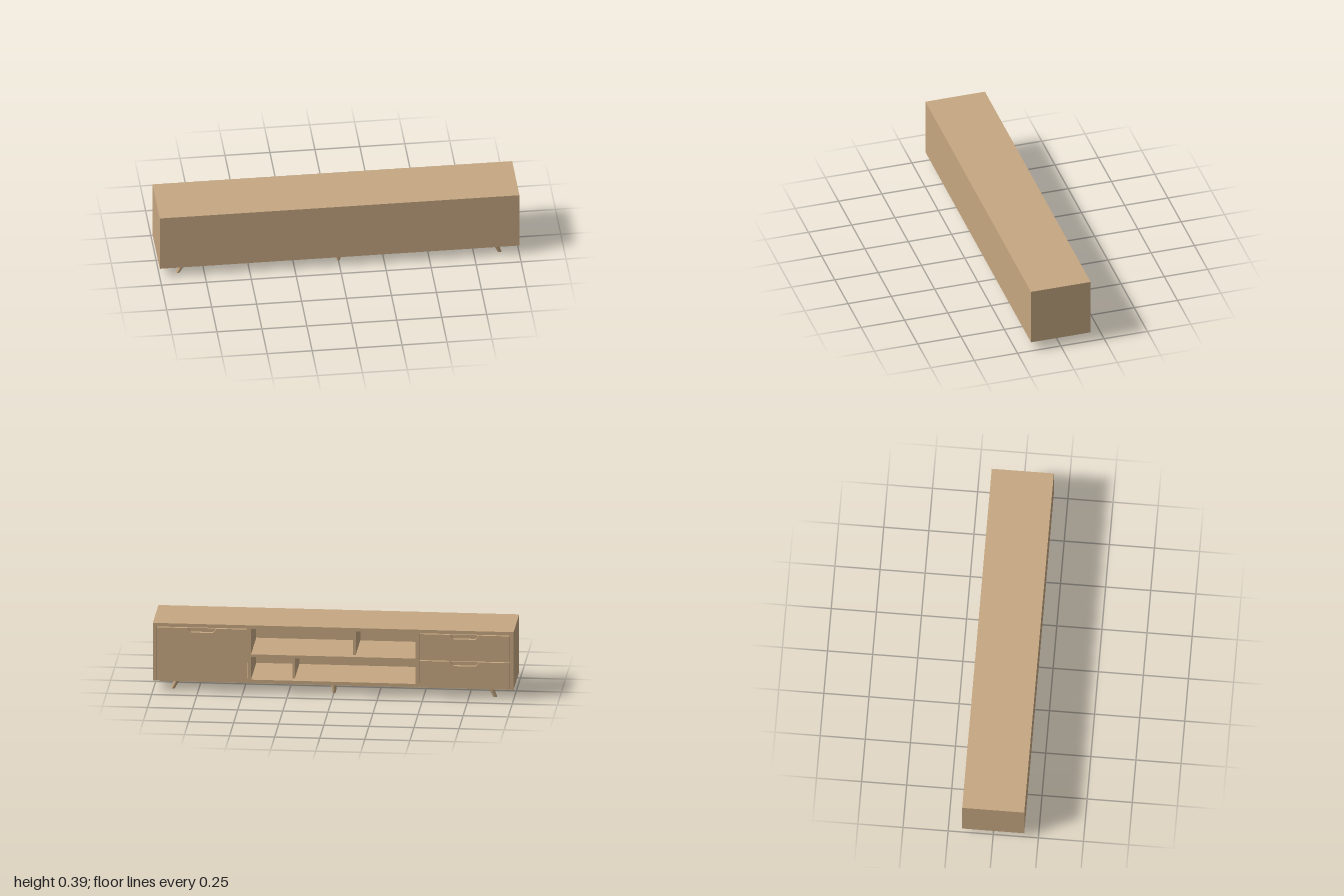
import * as THREE from 'three';

const wood = new THREE.MeshStandardMaterial({ color: 0xc6a781 });
wood.name = 'oak wood';

const T = 0.02;                       // board thickness
const X = 1, Z = 0.172;               // half width, half depth
const Y0 = 0.057, Y1 = 0.39;          // carcass bottom and top
const MID = 0.2135;                   // split between the drawers

export function createModel() {
  const model = new THREE.Group();
  model.name = 'mediaCabinet';

  const add = (name, geometry, parent = model) => {
    const mesh = new THREE.Mesh(geometry, wood);
    mesh.name = name;
    parent.add(mesh);
    return mesh;
  };

  // Board given by its extents on each axis
  const board = (name, x0, x1, y0, y1, z0, z1) => {
    const mesh = add(name, new THREE.BoxGeometry(x1 - x0, y1 - y0, z1 - z0));
    mesh.position.set((x0 + x1) / 2, (y0 + y1) / 2, (z0 + z1) / 2);
    return mesh;
  };

  // Carcass
  board('topPanel', -X, X, Y1 - T, Y1, -Z, Z);
  board('closedPanel', -X + T, X - T, Y0, Y1 - T, Z - T, Z);
  for (const s of [-1, 1]) {
    const side = s < 0 ? 'right' : 'left';
    const a = s * (X - T), b = s * X;
    board(side + 'SidePanel', Math.min(a, b), Math.max(a, b), Y0, Y1 - T, -Z, Z);
    const c = s * 0.456, d = s * 0.475;
    board(side + 'Partition', Math.min(c, d), Math.max(c, d), Y0 + T, Y1 - T, -Z, Z - T);
  }
  // Bottom runs behind the door and drawers, flush with the open bay
  board('bottomPanel', -X + T, X - T, Y0, Y0 + T, -Z + T, Z - T);
  board('bottomEdge', -0.475, 0.475, Y0, Y0 + T, -Z, -Z + T);

  // Open bay: one shelf and two set-back uprights
  const shelfLow = 0.206, shelfHigh = 0.222;
  board('shelf', -0.456, 0.456, shelfLow, shelfHigh, -Z + 0.004, Z - T);
  board('upperDivider', -0.121, -0.107, shelfHigh, Y1 - T, -Z + 0.045, Z - T);
  board('lowerDivider', 0.217, 0.231, Y0 + T, shelfLow, -Z + 0.045, Z - T);

  // Front board with a rounded finger notch in its top edge, plus the box face behind it
  const notchedFront = (name, cx, y0, y1) => {
    const w = 0.2495, n = 0.08, depth = 0.025, h = y1 - y0;
    const shape = new THREE.Shape();
    shape.moveTo(-w, 0);
    shape.lineTo(w, 0);
    shape.lineTo(w, h);
    shape.lineTo(n, h);
    shape.lineTo(n - 0.012, h - depth + 0.008);
    shape.quadraticCurveTo(n - 0.018, h - depth, n - 0.028, h - depth);
    shape.lineTo(-n + 0.028, h - depth);
    shape.quadraticCurveTo(-n + 0.018, h - depth, -n + 0.012, h - depth + 0.008);
    shape.lineTo(-n, h);
    shape.lineTo(-w, h);
    const front = add(name, new THREE.ExtrudeGeometry(shape, { depth: T, bevelEnabled: false, curveSegments: 6 }));
    front.position.set(cx, y0, -Z);
    board(name + 'Backing', cx - 0.24, cx + 0.24, Math.max(y0, Y0 + T), y1 - 0.004, -Z + T, -Z + T + 0.012);
  };
  notchedFront('door', 0.728, Y0, Y1 - T - 0.005);
  notchedFront('upperDrawerFront', -0.728, MID + 0.002, Y1 - T - 0.005);
  notchedFront('lowerDrawerFront', -0.728, Y0, MID - 0.003);

  // Tapered legs, sheared outwards so the feet stay level
  const leg = (name, x, z, splay) => {
    const geometry = new THREE.CylinderGeometry(0.0165, 0.0105, Y0, 32);
    geometry.applyMatrix4(new THREE.Matrix4().set(
      1, -splay / Y0, 0, 0,
      0, 1, 0, 0,
      0, 0, 1, 0,
      0, 0, 0, 1));
    add(name, geometry).position.set(x + splay / 2, Y0 / 2, z);
  };
  for (const s of [-1, 1]) {
    const side = s < 0 ? 'right' : 'left';
    leg(side + 'FrontLeg', s * 0.868, 0.128, s * 0.026);
    leg(side + 'BackLeg', s * 0.868, -0.117, s * 0.026);
  }
  leg('middleFrontLeg', 0, 0.107, 0);
  leg('middleBackLeg', 0, -0.117, 0);

  return model;
}
